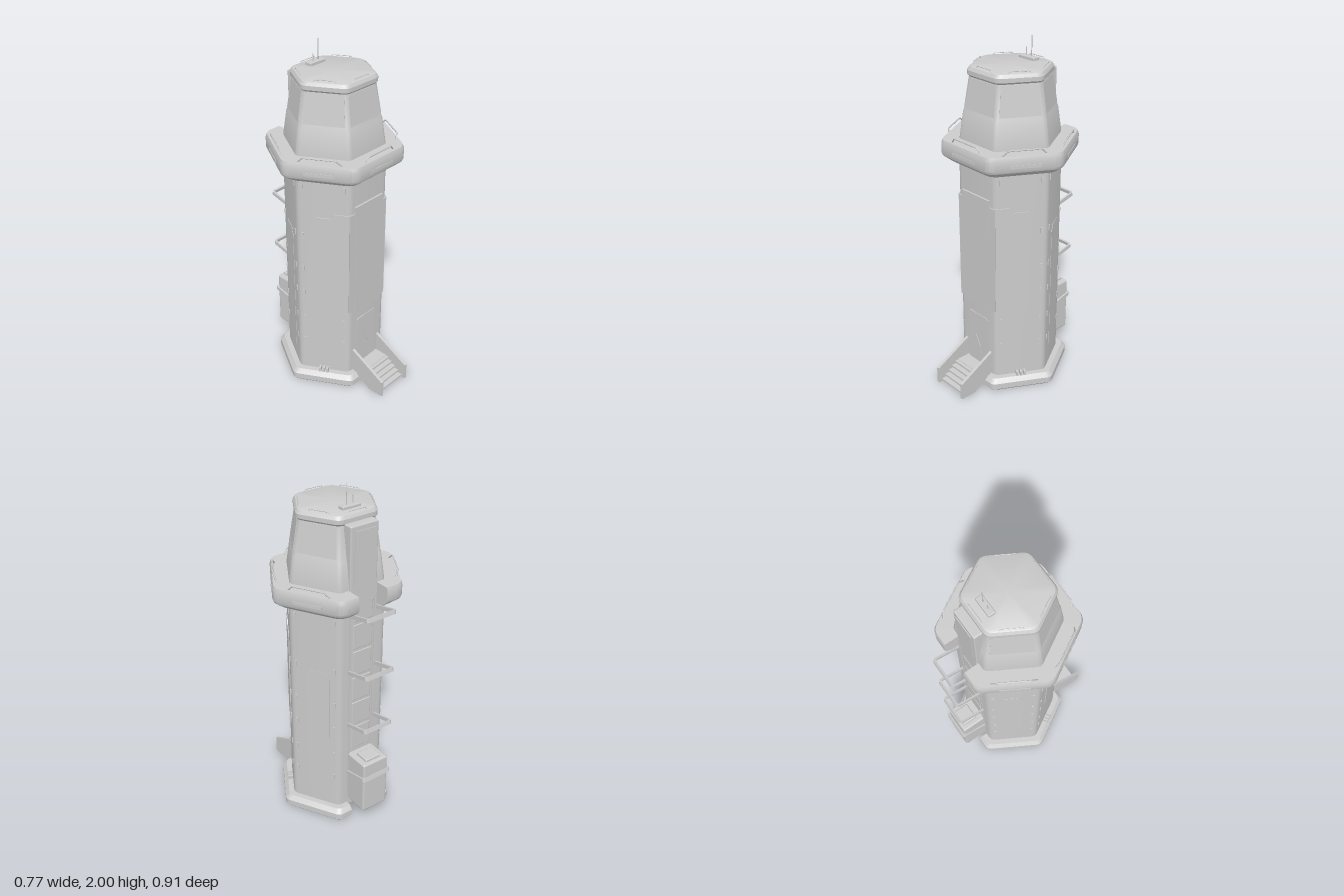
import * as THREE from 'three';
import { toCreasedNormals } from 'three/addons/utils/BufferGeometryUtils.js';
import { RoundedBoxGeometry } from 'three/addons/geometries/RoundedBoxGeometry.js';

const mat = new THREE.MeshStandardMaterial({ color: 0xcccccc });
const COS30 = Math.cos(Math.PI / 6);

function add(parent, name, geo, x = 0, y = 0, z = 0) {
  const m = new THREE.Mesh(geo, mat);
  m.name = name;
  m.position.set(x, y, z);
  parent.add(m);
  return m;
}
const box = (p, name, w, h, d, x, y, z) => add(p, name, new THREE.BoxGeometry(w, h, d), x, y, z);
const rbox = (p, name, w, h, d, x, y, z, r = 0.01) => add(p, name, new RoundedBoxGeometry(w, h, d, 2, r), x, y, z);

// Hexagon outline of circumradius R with rounded corners; a notch opens it at the back
function hexPath(R, round, notch) {
  const c = Math.min(round, R * 0.3), pts = [];
  const corner = k => {
    const t = THREE.MathUtils.degToRad(210 + 60 * k);
    return new THREE.Vector2(Math.sin(t), Math.cos(t)).multiplyScalar(R);
  };
  if (notch) pts.push(new THREE.Vector2(-notch, -R * COS30));
  for (let k = 0; k < 6; k++) {
    const v = corner(k);
    const toward = w => w.sub(v).setLength(c).add(v);
    const curve = new THREE.QuadraticBezierCurve(toward(corner(k - 1)), v, toward(corner(k + 1)));
    pts.push(...curve.getPoints(4));
  }
  if (notch) pts.push(new THREE.Vector2(notch, -R * COS30));
  return pts;
}

// Sweep a [radius, height] section round the hexagon
function hexSweep(section, { round = 0.03, notch = 0, closed = false } = {}) {
  const rings = section.map(([R, y]) => hexPath(R, round, notch).map(p => new THREE.Vector3(p.x, y, p.y)));
  const n = rings[0].length, pos = [];
  const tri = (a, b, c) => {
    const area = b.clone().sub(a).cross(c.clone().sub(a)).length();
    if (area > 1e-9) for (const p of [a, b, c]) pos.push(p.x, p.y, p.z);
  };
  const sides = closed ? rings.length : rings.length - 1;
  for (let s = 0; s < sides; s++) {
    const lo = rings[s], hi = rings[(s + 1) % rings.length];
    for (let j = 0; j < (notch ? n - 1 : n); j++) {
      const k = (j + 1) % n;
      tri(lo[j], lo[k], hi[k]);
      tri(lo[j], hi[k], hi[j]);
    }
  }
  if (notch) for (let s = 1; s < rings.length - 1; s++) {
    tri(rings[0][0], rings[s][0], rings[s + 1][0]);
    tri(rings[0][n - 1], rings[s + 1][n - 1], rings[s][n - 1]);
  }
  const g = new THREE.BufferGeometry();
  g.setAttribute('position', new THREE.Float32BufferAttribute(pos, 3));
  return toCreasedNormals(g, 0.45);
}

const polygon = pts => new THREE.Shape(pts.map(p => new THREE.Vector2(...p)));
const extrude = (pts, depth) => new THREE.ExtrudeGeometry(polygon(pts), { depth, bevelEnabled: false });

// Low bent-rod rail with sloping ends
function rail(parent, name, half, h, lean, r, y, z) {
  const path = new THREE.CurvePath();
  const p = [[-half, 0], [-half + h, h], [half - h, h], [half, 0]].map(([x, v]) => new THREE.Vector3(x, v, v * lean));
  for (let i = 0; i < 3; i++) path.add(new THREE.LineCurve3(p[i], p[i + 1]));
  add(parent, name, new THREE.TubeGeometry(path, 30, r, 6), 0, y, z);
}

export function createModel() {
  const model = new THREE.Group();
  model.name = 'watchtower';
  const tower = new THREE.Group();
  tower.name = 'tower';
  tower.position.z = -0.03;
  model.add(tower);

  // Main hexagonal masses
  add(tower, 'base', hexSweep([[0.275, 0], [0.345, 0], [0.355, 0.01], [0.355, 0.045], [0.33, 0.07], [0.275, 0.07]],
    { round: 0.025, notch: 0.09, closed: true }));
  add(tower, 'shaft', hexSweep([[0, 0.05], [0.294, 0.05], [0.294, 1.4], [0, 1.4]], { round: 0.025 }));
  add(tower, 'walkway', hexSweep([[0.27, 1.355], [0.345, 1.355], [0.387, 1.385], [0.394, 1.4], [0.394, 1.455], [0.386, 1.475], [0.27, 1.475]],
    { round: 0.04, notch: 0.09, closed: true }));
  add(tower, 'cabin', hexSweep([[0, 1.38], [0.29, 1.38], [0.288, 1.48], [0.266, 1.625], [0.261, 1.635], [0.228, 1.82], [0, 1.82]], { round: 0.02 }));
  add(tower, 'roof', hexSweep([[0, 1.815], [0.232, 1.815], [0.242, 1.825], [0.242, 1.848], [0.23, 1.865], [0.215, 1.871], [0, 1.868]], { round: 0.03 }));

  // Details repeated on each face; face 0 is the front, face 3 the back
  for (let k = 0; k < 6; k++) {
    const face = new THREE.Group();
    face.name = 'face' + k;
    face.rotation.y = k * Math.PI / 3;
    tower.add(face);
    rail(face, 'roofRail', 0.062, 0.012, 0, 0.002, 1.865, 0.19);
    if (k === 3) continue;
    rail(face, 'walkwayRail', 0.12, 0.033, 0.4, 0.004, 1.472, 0.315);
    const slot = box(face, 'rimLight', 0.18, 0.018, 0.008, 0, 1.42, 0.34);
    slot.scale.x = k === 0 ? 1 : 0.9;
    // Tilted cabin window plate
    const win = add(face, 'cabinWindow', extrude([[-0.112, 0], [0.112, 0], [0.1, 0.165], [-0.1, 0.165]], 0.006), 0, 1.645, 0.221);
    win.rotation.x = -Math.atan(0.155);
    if (k === 0) continue;
    // Shaft fittings
    for (const s of [-1, 1]) for (const y of [0.28, 0.44, 0.62, 0.78, 1.0, 1.3])
      box(face, 'clip', 0.012, 0.03, 0.01, s * 0.115, y, 0.255);
    if (k === 2 || k === 4) {
      const t = k === 2 ? 1 : -1;
      add(face, 'sidePanel', extrude([[-0.07, 0.16], [0.07, 0.16], [0.07, 0.94], [0.045, 0.98], [-0.045, 0.98], [-0.07, 0.94]], 0.003), t * 0.015, 0, 0.2535);
    }
    // Vents on the base
    if (k === 1 || k === 5) for (let i = -1; i <= 1; i++)
      box(face, 'baseVent', 0.012, 0.03, 0.03, i * 0.022, 0.08, 0.272);
  }

  // Armour wrapped round both front corners
  for (const s of [-1, 1]) {
    box(tower, 'frontArmour', 0.04, 0.64, 0.014, s * 0.125, 0.83, 0.2525);
    const side = new THREE.Group();
    side.name = 'sideArmour';
    side.rotation.y = s * Math.PI / 3;
    tower.add(side);
    const pts = [[0.04, 0.51], [0.145, 0.51], [0.145, 1.15], [0.06, 1.15], [0.04, 1.12]].map(([x, y]) => [-s * x, y]);
    pts.push([s * 0.04, 1.12], [s * 0.04, 0.51]);
    add(side, 'sideArmourPlate', extrude(pts, 0.008), 0, 0, 0.2515);
  }
  box(tower, 'frontPanel', 0.22, 0.7, 0.02, 0, 0.84, 0.2555);

  // Door in two leaves with a stepped joint
  const leaf = [[-0.08, 0.1], [0.02, 0.1], [0.02, 0.21], [-0.02, 0.28], [-0.02, 0.43], [-0.07, 0.43], [-0.08, 0.42]];
  add(tower, 'doorLeft', extrude(leaf, 0.01), 0, 0, 0.25);
  add(tower, 'doorRight', extrude([[0.023, 0.1], [0.08, 0.1], [0.08, 0.42], [0.07, 0.43], [-0.017, 0.43], [-0.017, 0.28], [0.023, 0.21]], 0.008), 0, 0, 0.25);

  // Entrance stairs and underfloor channel
  box(model, 'floorChannel', 0.2, 0.02, 0.5, 0, 0.045, 0);
  box(model, 'landing', 0.2, 0.04, 0.11, 0, 0.08, 0.255);
  for (let i = 0; i < 5; i++) box(model, 'tread', 0.2, 0.012, 0.034, 0, 0.015 + i * 0.019, 0.418 - i * 0.026);
  for (const x of [-0.098, 0.115]) {
    const m = add(model, 'stringer', extrude([[0.455, 0], [0.455, 0.1], [0.225, 0.22], [0.225, 0.08], [0.36, 0]], 0.017), x);
    m.rotation.y = -Math.PI / 2;
  }

  // Rear spine with framed panels
  for (const x of [-0.08, 0.08]) box(model, 'spineRail', 0.012, 1.37, 0.012, x, 0.785, -0.283);
  for (let i = 0; i < 6; i++) rbox(model, 'spinePanel', 0.125, 0.15, 0.012, 0, 0.53 + i * 0.165, -0.282, 0.005);
  rbox(model, 'rearLocker', 0.176, 0.45, 0.14, 0, 1.6, -0.218, 0.008);
  box(model, 'rearLockerDoor', 0.125, 0.29, 0.008, 0, 1.65, -0.288);

  // Ladder hoops
  const hoop = extrude([[-0.095, 0], [-0.095, 0.165], [-0.082, 0.178], [0.082, 0.178], [0.095, 0.165], [0.095, 0],
    [0.084, 0], [0.084, 0.158], [0.077, 0.166], [-0.077, 0.166], [-0.084, 0.158], [-0.084, 0]], 0.022);
  for (const y of [0.285, 0.625, 0.97, 1.32]) add(model, 'ladderHoop', hoop, 0, y, -0.28).rotation.x = -Math.PI / 2 + 0.25;

  // Generator at the back
  rbox(model, 'generator', 0.17, 0.335, 0.16, 0, 0.265, -0.355, 0.012);
  rbox(model, 'generatorHatch', 0.105, 0.024, 0.09, 0, 0.436, -0.368, 0.008);

  // Antennas on the roof
  rbox(model, 'antennaBox', 0.115, 0.03, 0.042, 0, 1.872, -0.16, 0.006);
  for (const [x, top] of [[0.02, 2], [-0.02, 1.93]])
    add(model, 'antenna', new THREE.CylinderGeometry(0.002, 0.003, top - 1.87, 8), x, (top + 1.87) / 2, -0.16);

  return model;
}
